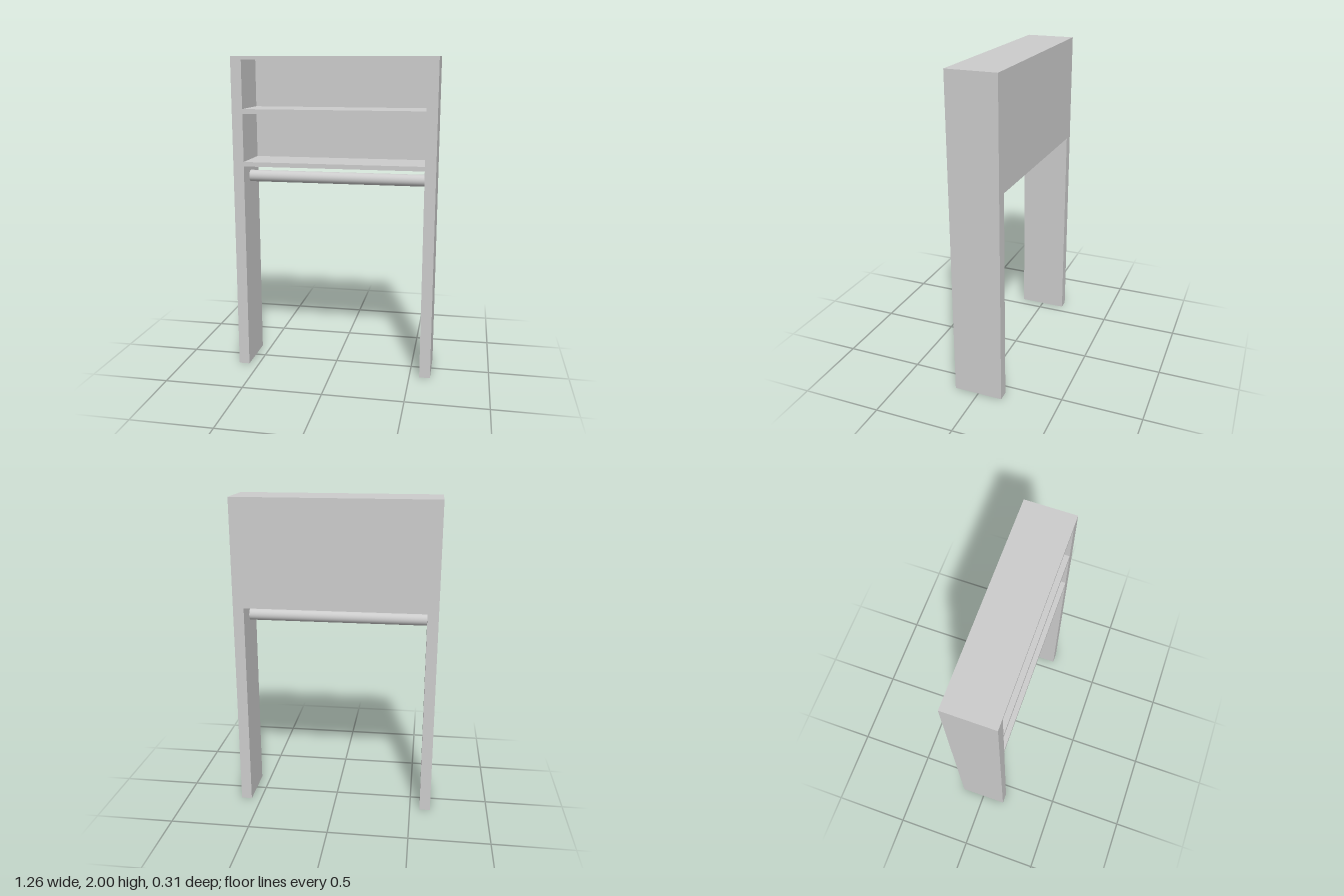
import * as THREE from 'three';

const W = 0.632, INNER = 0.564, D = 0.154, BACK = 0.014;

export function createModel() {
  const group = new THREE.Group();
  group.name = 'shelfUnit';
  const material = new THREE.MeshStandardMaterial({ color: 0xcccccc });

  const add = (name, geometry) => {
    const mesh = new THREE.Mesh(geometry, material);
    mesh.name = name;
    group.add(mesh);
    return mesh;
  };

  // Carcass front outline: two legs under a body, with two compartments
  const outline = new THREE.Shape([
    [-W, 0], [-INNER, 0], [-INNER, 1.326], [INNER, 1.326],
    [INNER, 0], [W, 0], [W, 2], [-W, 2],
  ].map(([x, y]) => new THREE.Vector2(x, y)));
  for (const [bottom, top] of [[1.354, 1.652], [1.682, 1.98]]) {
    outline.holes.push(new THREE.Path([
      [-INNER, bottom], [-INNER, top], [INNER, top], [INNER, bottom],
    ].map(([x, y]) => new THREE.Vector2(x, y))));
  }
  const carcass = new THREE.ExtrudeGeometry(outline, { depth: 2 * D, bevelEnabled: false });
  add('carcass', carcass).position.z = -D;

  // Thin back board closing the compartments, flush with the rear
  add('backBoard', new THREE.BoxGeometry(2 * INNER, 2 - 0.02 - 1.354, BACK))
    .position.set(0, (1.98 + 1.354) / 2, -D + BACK / 2);

  // Hanging rail between the legs
  const rail = add('hangingRail', new THREE.CylinderGeometry(0.037, 0.037, 2 * INNER, 40));
  rail.rotation.z = Math.PI / 2;
  rail.position.set(0, 1.247, 0.012);

  return group;
}
